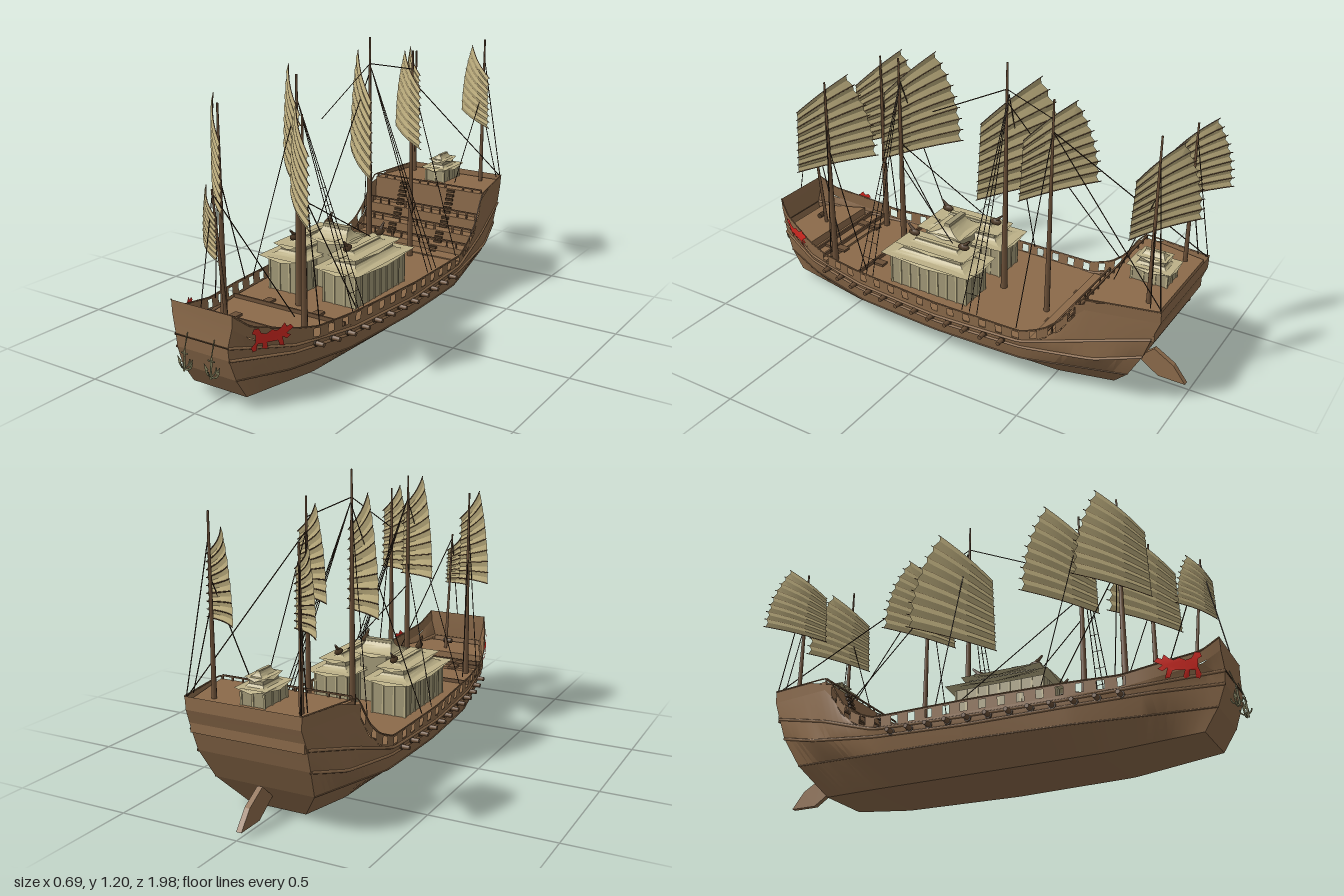
import * as THREE from 'three';
import { toCreasedNormals } from 'three/addons/utils/BufferGeometryUtils.js';

const mat = (name, color) => new THREE.MeshStandardMaterial({ name, color, side: THREE.DoubleSide });
const V = (x, y, z) => new THREE.Vector3(x, y, z);

// Hull lines from keel to rail; each row is [z, y, half width]
const SHEER = [[.945, .39, .14], [.88, .335, .172], [.71, .285, .235], [.6, .26, .258], [.4, .255, .288], [0, .25, .315], [-.4, .25, .312],
  [-.5, .29, .302], [-.57, .35, .297], [-.62, .43, .292], [-.66, .47, .29], [-.945, .48, .24]];
const LEVELS = [
  [[.86, .045, .125], [.5, .012, .16], [0, .005, .172], [-.5, .008, .16], [-.73, .02, .12]],
  [[.915, .13, .125], [.7, .11, .2], [.4, .1, .265], [0, .1, .29], [-.4, .105, .285], [-.82, .14, .21]],
  [[.945, .215, .12], [.7, .185, .225], [.4, .165, .28], [0, .155, .305], [-.4, .17, .303], [-.7, .21, .28], [-.885, .26, .235]],
  [[.95, .265, .12], [.7, .215, .232], [.4, .19, .285], [0, .185, .312], [-.4, .2, .31], [-.65, .28, .29], [-.915, .35, .24]],
  SHEER.map(([z, y, w]) => [z, y - .05, w - .003]),
  SHEER];

// Height and half width of one hull line at z
function at(line, z) {
  if (z >= line[0][0]) return [line[0][1], line[0][2]];
  for (let i = 1; i < line.length; i++) {
    const a = line[i - 1], b = line[i];
    if (z >= b[0]) {
      const t = (z - a[0]) / (b[0] - a[0]);
      return [a[1] + (b[1] - a[1]) * t, a[2] + (b[2] - a[2]) * t];
    }
  }
  const e = line[line.length - 1];
  return [e[1], e[2]];
}
// Half width of the hull at any z and y
function hullX(z, y) {
  const p = LEVELS.map(l => at(l, z));
  for (let j = 1; j < p.length; j++) {
    if (y <= p[j][0]) return p[j - 1][1] + (p[j][1] - p[j - 1][1]) * Math.max(0, (y - p[j - 1][0]) / (p[j][0] - p[j - 1][0]));
  }
  return p[p.length - 1][1];
}
// Geometry from a list of quads, smooth below the crease angle
function quads(list, crease = .45) {
  const pos = [];
  for (const [a, b, c, d] of list) for (const p of [a, b, c, a, c, d]) pos.push(p.x, p.y, p.z);
  const g = new THREE.BufferGeometry();
  g.setAttribute('position', new THREE.Float32BufferAttribute(pos, 3));
  return toCreasedNormals(g, crease);
}

export function createModel() {
  const M = {
    hull: mat('hull wood', 0x8b6a4a), dark: mat('dark wood', 0x503c28), mast: mat('mast wood', 0x6b5038),
    sail: mat('sail cloth', 0xbcad7e), roof: mat('roof', 0xbcb188),
    wall: mat('pavilion wall', 0xa09776), red: mat('red paint', 0xd92a22), iron: mat('anchor iron', 0x85835f), rope: mat('rope', 0x3a2c1f)
  };
  const root = new THREE.Group();
  const add = (name, geo, m, parent = root) => {
    const o = new THREE.Mesh(geo, m);
    o.name = name;
    parent.add(o);
    return o;
  };
  const box = (name, w, h, d, x, y, z, m, parent) => {
    const o = add(name, new THREE.BoxGeometry(w, h, d), m, parent);
    o.position.set(x, y, z);
    return o;
  };
  const rod = (name, a, b, r, m, r2 = r, sides = 5) => {
    const o = add(name, new THREE.CylinderGeometry(r2, r, a.distanceTo(b), sides), m);
    o.position.copy(a).lerp(b, .5);
    o.quaternion.setFromUnitVectors(V(0, 1, 0), b.clone().sub(a).normalize());
    return o;
  };

  // Hull shell with raked bow and stern transoms
  const N = 60, rings = [];
  for (let i = 0; i <= N; i++) rings.push(LEVELS.map(l => {
    const z = l[0][0] + (l[l.length - 1][0] - l[0][0]) * i / N, [y, w] = at(l, z);
    return V(w, y, z);
  }));
  const flip = p => V(-p.x, p.y, p.z);
  const loops = rings.map(r => [...r.slice(0, 5).reverse(), ...r.slice(0, 5).map(flip)]);
  const shell = [], caps = [];
  for (let i = 0; i < N; i++) for (let j = 0; j < 9; j++)
    shell.push([loops[i][j], loops[i][j + 1], loops[i + 1][j + 1], loops[i + 1][j]]);
  for (const [r, s] of [[rings[0], 1], [rings[N], -1]]) for (let j = 0; j < 5; j++) {
    const q = [r[j], r[j + 1], flip(r[j + 1]), flip(r[j])];
    caps.push(s > 0 ? q : q.reverse());
  }
  add('hull', quads(shell, .35), M.hull);
  add('transoms', quads(caps, .1), M.hull);
  box('bowBand', .24, .004, .006, 0, .265, .95, M.dark);

  // Bulwark pierced by a row of square ports, with a cap rail
  const edges = [.945, .9, .86, .8, .75, .7, .66];
  for (let z = .62; z > -.66; z -= .076) edges.push(z, z - .029);
  edges.push(-.75, -.85, -.945);
  const rows = [-.05, -.043, -.01, 0];
  for (const s of [1, -1]) {
    const strip = [];
    const P = (z, o) => { const y = at(SHEER, z)[0] + o; return V(s * hullX(z, y), y, z); };
    for (let i = 0; i + 1 < edges.length; i++) for (let k = 0; k < 3; k++) {
      const open = k === 1 && i >= 7 && (i - 7) % 2 === 0 && edges[i] > -.67;
      if (open) continue;
      const q = [P(edges[i], rows[k]), P(edges[i + 1], rows[k]), P(edges[i + 1], rows[k + 1]), P(edges[i], rows[k + 1])];
      strip.push(s > 0 ? q : q.reverse());
    }
    add('bulwark', quads(strip), M.hull);
    const line = pts => new THREE.CatmullRomCurve3(pts, false, 'catmullrom', .1);
    add('capRail', new THREE.TubeGeometry(line(SHEER.map(([z, y, w]) => V(s * w, y, z))), 90, .003, 5), M.hull);
    for (const [j, r] of [[1, .003], [2, .006], [3, .006]])
      add('wale', new THREE.TubeGeometry(line(LEVELS[j].map(([z, y, w]) => V(s * w, y, z))), 70, r, 6), M.hull);
    // Guns along the side
    for (let k = 0; k < 12; k++) {
      const z = -.32 + k * .0835, y = .176 + (z > .4 ? (z - .4) * .06 : 0), x = hullX(z, y);
      rod('gunPort', V(s * (x - .01), y, z), V(s * (x + .004), y, z), .015, M.dark, .015, 8);
      rod('gun', V(s * (x - .01), y, z), V(s * (x + .036), y, z), .011, M.mast, .009, 8);
    }
    // Painted beast near the bow, laid on the planking
    const beast = new THREE.Shape([[.885, .31], [.872, .302], [.868, .272], [.875, .25], [.868, .232], [.855, .235], [.858, .262], [.84, .262], [.835, .24],
      [.82, .232], [.815, .24], [.825, .262], [.785, .26], [.772, .235], [.755, .232], [.76, .243], [.768, .27], [.75, .258], [.735, .268], [.752, .28],
      [.725, .295], [.737, .31], [.752, .305], [.76, .322], [.775, .307], [.79, .3], [.81, .308], [.83, .298], [.85, .305], [.862, .326], [.88, .326]]
      .map(p => new THREE.Vector2(...p)));
    const g = new THREE.ShapeGeometry(beast), p = g.attributes.position;
    for (let i = 0; i < p.count; i++) {
      const z = p.getX(i), y = p.getY(i);
      p.setXYZ(i, s * (hullX(z, y) + .009), y, z);
    }
    g.computeVertexNormals();
    add('paintedBeast', g, M.red);
  }

  // Decks stepping up to bow and stern
  const deck = (zA, zB, y, depth) => {
    const side = [];
    for (let i = 0; i <= 10; i++) {
      const z = zA + (zB - zA) * i / 10;
      side.push([Math.min(hullX(z, y), hullX(z, y - depth)) - .004, -z]);
    }
    const shape = new THREE.Shape([...side, ...side.map(([x, v]) => [-x, v]).reverse()].map(p => new THREE.Vector2(...p)));
    const g = new THREE.ExtrudeGeometry(shape, { depth, bevelEnabled: false }).rotateX(-Math.PI / 2);
    add('deck', g, M.hull).position.y = y - depth;
  };
  const railing = (z, y, w) => {
    box('railBar', w * 2, .006, .006, 0, y + .03, z, M.mast);
    for (let k = -6; k <= 6; k++) if (Math.abs(k) !== 3) box('railPost', .006, .03, .006, k * w / 6, y + .015, z, M.mast);
  };
  deck(.63, -.43, .205, .02);
  deck(.74, .62, .215, .03);
  deck(.925, .74, .25, .05);
  const steps = [[-.43, -.5, .21], [-.5, -.56, .235], [-.56, -.61, .285], [-.61, -.66, .345], [-.66, -.925, .46]];
  steps.forEach(([a, b, y], i) => {
    deck(a, b, y, i === 4 ? .12 : i ? .08 : .03);
    if (i) railing(a - .005, y - (i === 4 ? .015 : 0), hullX(a, y) - .015);
    for (const x of [-.125, .125]) for (let k = 0; k < (i === 4 ? 6 : 3); k++) box('stair', .036, .01, .012, x, y - .01 - k * .018, a + .006 + k * .007, M.dark);
  });
  for (const [z, y] of [[.71, .215], [.65, .215], [.44, .205]]) {
    box('deckBeam', (hullX(z, y) - .01) * 2, .016, .008, 0, y + .008, z, M.mast);
    for (const x of [-.12, .12]) box('ladder', .036, .01, .05, x, y + .005, z - .03, M.mast);
  }
  rod('windlass', V(-.02, .28, .83), V(.02, .28, .83), .012, M.dark, .012, 8);

  // Concave hipped roof with lifted corners
  const hipRoof = (w, d, h, rw, rd) => {
    const ring = t => {
      const k = Math.pow(1 - t, 1.5), a = rw + (w - rw) * k, b = rd + (d - rd) * k, y = h * t, up = .016 * k * k;
      return [[1, 1], [0, 1], [-1, 1], [-1, 0], [-1, -1], [0, -1], [1, -1], [1, 0]].map(([x, z]) => V(x * a / 2, y + (x && z ? up : 0), z * b / 2));
    };
    const q = [];
    for (let i = 0; i < 4; i++) {
      const A = ring(i / 4), B = ring((i + 1) / 4);
      for (let j = 0; j < 8; j++) q.push([A[(j + 1) % 8], A[j], B[j], B[(j + 1) % 8]]);
    }
    const T = ring(1), E = ring(0);
    q.push([T[0], T[6], T[4], T[2]], [E[0], E[2], E[4], E[6]]);
    return quads(q, .3);
  };
  // One pavilion: walls with posts and two stacked roofs
  const pavilion = (name, x, z, w, d, y0, y1, y2, y3, inset) => {
    const g = new THREE.Group();
    g.name = name;
    root.add(g);
    const ww = w - inset, dd = d - inset;
    box('walls', ww, y1 - y0 + .008, dd, x, (y0 + y1) / 2, z, M.wall, g);
    const n = Math.max(2, Math.round(dd / .045)), m = Math.max(2, Math.round(ww / .045));
    for (const s of [1, -1]) {
      for (let i = 0; i <= n; i++) box('post', .008, y1 - y0, .008, x + s * ww / 2, (y0 + y1) / 2, z + (i / n - .5) * dd, M.roof, g);
      for (let i = 0; i <= m; i++) box('post', .008, y1 - y0, .008, x + (i / m - .5) * ww, (y0 + y1) / 2, z + s * dd / 2, M.roof, g);
    }
    const uw = w * .55, ud = d - w * .45;
    add('lowerRoof', hipRoof(w, d, (y2 - y1) * .72, uw * .85, ud * .87), M.roof, g).position.set(x, y1, z);
    box('upperWalls', uw * .8, y2 - y1, ud * .84, x, (y1 + y2) / 2 + .003, z, M.wall, g);
    add('upperRoof', hipRoof(uw * 1.15, ud, y3 - y2, uw * .2, ud * .6), M.roof, g).position.set(x, y2, z);
    box('ridge', uw * .16, .008, ud * .62, x, y3, z, M.roof, g);
  };
  for (const s of [1, -1]) {
    pavilion('sidePavilion', s * .135, .095, .215, .435, .2, .337, .382, .408, .065);
    for (const z of [-.03, .215]) {
      const o = add('ridgeOrnament', new THREE.SphereGeometry(.017, 6, 5), M.dark);
      o.scale.set(.8, .9, 1.7);
      o.position.set(s * .13, .425, z);
      rod('ornamentHorn', V(s * .13, .43, z), V(s * .13, .46, z + (z > .1 ? .03 : -.03)), .01, M.dark, .004);
    }
  }
  box('centreHall', .12, .21, .12, 0, .305, .095, M.wall);
  add('centreRoof', hipRoof(.19, .165, .05, .12, .03), M.roof).position.set(0, .405, .095);
  box('centreRidge', .125, .016, .025, 0, .46, .095, M.wall);
  pavilion('sternPavilion', -.005, -.81, .13, .18, .455, .51, .545, .578, .035);

  // Rudder blade
  const blade = new THREE.Shape([[.78, .09], [.845, .15], [.93, .1], [.985, .03], [.87, .03]].map(p => new THREE.Vector2(...p)));
  const rudder = add('rudder', new THREE.ExtrudeGeometry(blade, { depth: .022, bevelEnabled: false }), M.hull);
  rudder.rotation.y = Math.PI / 2;
  rudder.position.x = -.011;

  // Bow anchors
  for (const x of [-.062, .062]) {
    rod('anchorRope', V(x, .285, .952), V(x, .22, .972), .002, M.iron);
    rod('anchorShank', V(x, .225, .97), V(x, .145, .978), .004, M.iron);
    rod('anchorStock', V(x - .015, .212, .972), V(x + .015, .212, .972), .003, M.iron);
    for (const r of [0, Math.PI / 2]) {
      const arms = add('anchorArms', new THREE.TorusGeometry(.03, .004, 5, 10, Math.PI), M.iron);
      arms.rotation.set(0, r, Math.PI, 'YXZ');
      arms.position.set(x, .178, .969);
      arms.scale.setScalar(r ? .75 : 1);
    }
    for (const s of [1, -1]) rod('fluke', V(x + s * .024, .17, .97), V(x + s * .036, .195, .97), .008, M.iron, .001, 4);
  }

  // Fan-shaped sail with battens: luff at (x0,z0), leech at (x1,z1)
  const makeSail = (x0, z0, x1, z1, yb, H) => {
    const panels = 8, cols = 6;
    const P = (c, t, out) => {
      const bite = out > 0 ? .03 : 0, leech = 1 - .33 * Math.pow(t, 2.1) - bite;
      const s = .04 * t * (1 - c) + leech * c, y = yb + H * (.66 * t * (1 - c) + (.09 + .91 * t) * c);
      const off = .01 + out + .012 * Math.sin(Math.PI * c);
      return V(x0 + (x1 - x0) * s - off * .68, y, z0 + (z1 - z0) * s + off * .73);
    };
    const q = [];
    for (let r = 0; r < panels * 2; r++) for (let k = 0; k < cols; k++) {
      const o = i => (i % 2 ? .006 * H / .42 : 0), a = r / panels / 2, b = (r + 1) / panels / 2;
      q.push([P(k / cols, a, o(r)), P((k + 1) / cols, a, o(r)), P((k + 1) / cols, b, o(r + 1)), P(k / cols, b, o(r + 1))]);
    }
    add('sail', quads(q, .35), M.sail);
    for (let i = 0; i <= panels; i++) {
      const pts = [-.02, .25, .5, .75, 1.03].map(c => P(c, i / panels, -.0015));
      add('batten', new THREE.TubeGeometry(new THREE.CatmullRomCurve3(pts), 6, .0022, 4), M.mast);
    }
  };
  // [mast x, foot z, foot y, top z, top y, foot radius, sail luff x,z, leech x,z, foot height, sail height]
  const RIGS = [
    [0, .805, .25, .865, .8, .008, .05, .893, -.105, .785, .555, .24],
    [-.19, .6, .2, .6, 1.04, .014, -.1, .685, -.33, .46, .63, .425],
    [.195, .6, .2, .6, 1.04, .014, .295, .685, .05, .46, .65, .41],
    [0, .365, .2, .365, 1.13, .015, .06, .41, -.19, .18, .69, .45],
    [0, -.15, .2, -.15, 1.21, .015, .075, -.065, -.2, -.33, .625, .505],
    [.065, -.39, .2, -.39, 1.13, .013, .165, -.31, -.085, -.525, .725, .385],
    [-.19, -.865, .44, -.865, 1.05, .01, -.12, -.8, -.31, -.985, .735, .32],
    [.17, -.865, .44, -.865, 1.13, .01, .24, -.805, .01, -.985, .735, .35]];
  for (const [x, fz, fy, tz, ty, r, ...sail] of RIGS) {
    rod('mast', V(x, fy, fz), V(x, ty, tz), r, M.mast, .004, 8);
    makeSail(...sail);
  }

  // Rope ladders from the masts to the rail
  const shroud = (x, z, top, s, zA, zB) => {
    const foot = k => { const b = zA + (zB - zA) * k / 2; return V(s * (hullX(b, .24) - .01), .25, b); };
    const head = V(x, top, z);
    for (let k = 0; k < 3; k++) rod('shroud', foot(k), head, .002, M.rope, .002, 4);
    for (let i = 1; i < 11; i++) rod('ratline', foot(0).lerp(head, i / 12), foot(2).lerp(head, i / 12), .0013, M.rope, .0013, 4);
  };
  shroud(0, .36, 1.03, 1, .33, .4);
  shroud(0, -.16, 1.08, 1, -.2, -.13);
  for (const [x, z, top, s, foot] of [[0, .36, 1.03, -1, .3], [0, -.16, 1.08, -1, -.13], [.065, -.39, 1, 1, -.38], [.195, .6, .9, 1, .58], [-.19, .6, .9, -1, .58]])
    rod('stay', V(x, top, z), V(s * (hullX(foot, .24) - .01), .25, foot), .0022, M.rope, .0022, 4);

  // Stays between mastheads and deck
  const stays = [[0, .78, .865, 0, .39, .945], [0, .78, .86, .15, .27, .6], [0, .93, .2, 0, 1.1, -.15], [0, 1.1, -.15, .065, 1.05, -.39],
    [.065, 1.0, -.39, .23, .48, -.94], [.065, 1.0, -.39, -.23, .48, -.94], [0, .75, .365, -.3, .25, -.03], [0, 1.05, -.15, -.28, .33, -.55],
    [.17, 1.05, -.865, .235, .48, -.94], [-.19, 1.0, -.865, -.235, .48, -.94], [.17, .9, -.865, .12, .48, -.7], [.195, .75, .6, .27, .26, .37],
    [-.19, .75, .6, -.27, .26, .37], [0, .65, .365, .12, .42, .03], [.17, .8, -.865, .235, .48, -.9], [-.19, .8, -.865, -.235, .48, -.9]];
  for (const [a, b, c, d, e, f] of stays) rod('stay', V(a, b, c), V(d, e, f), .0022, M.rope, .0022, 4);

  return root;
}
